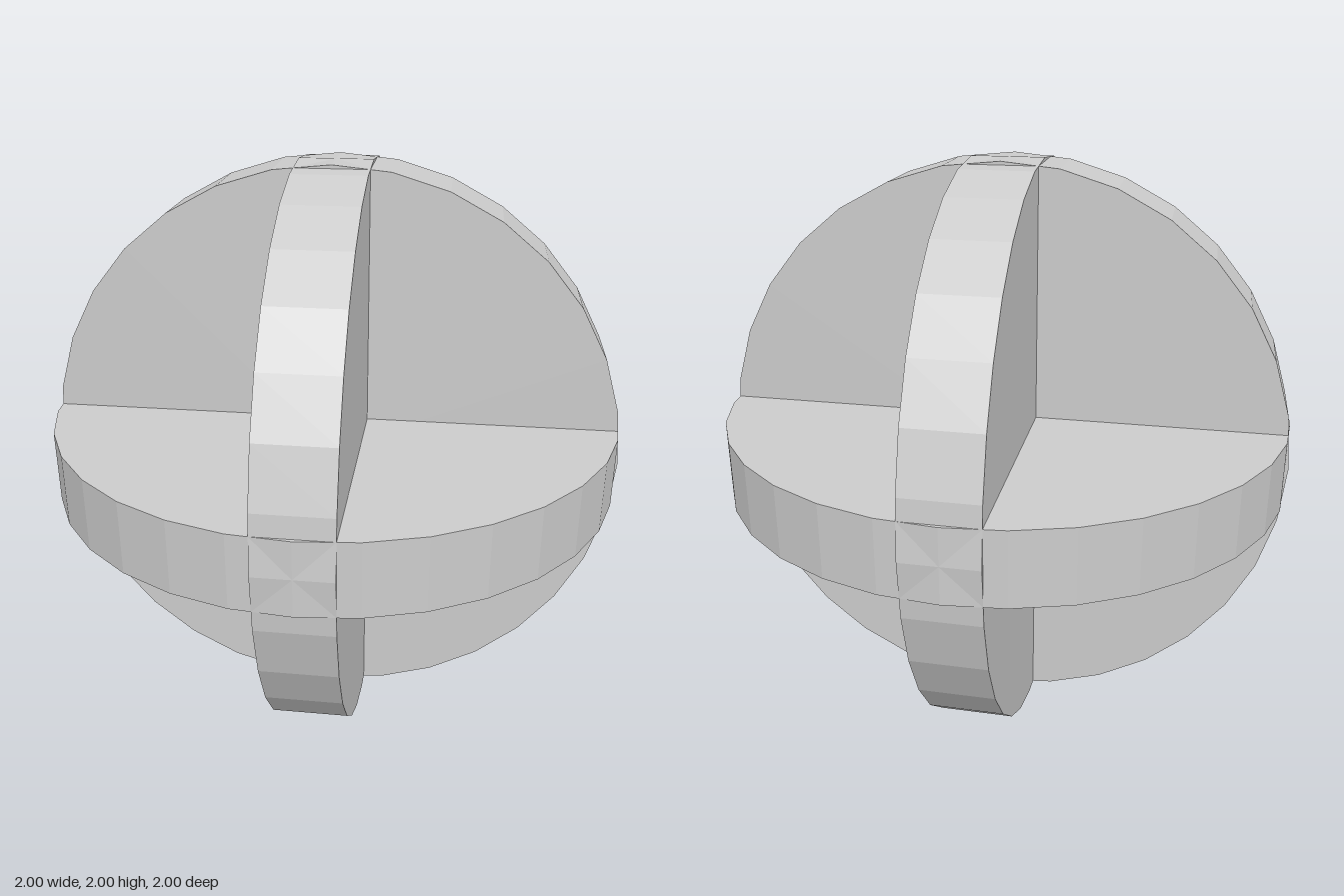
import * as THREE from 'three';

// Three identical thick discs crossing at right angles, one per axis
export function createModel() {
  const group = new THREE.Group();
  group.name = 'crossedDiscs';
  const material = new THREE.MeshStandardMaterial({ color: 0xcccccc, flatShading: true });
  const radius = 1, thickness = 0.25, sides = 32;
  const geometry = new THREE.CylinderGeometry(radius, radius, thickness, sides);

  const discs = [
    ['horizontalDisc', 0, 0],
    ['frontFacingDisc', Math.PI / 2, 0],
    ['sideFacingDisc', 0, Math.PI / 2],
  ];
  for (const [name, rx, rz] of discs) {
    const disc = new THREE.Mesh(geometry, material);
    disc.name = name;
    disc.rotation.set(rx, 0, rz);
    disc.position.y = radius;
    group.add(disc);
  }
  return group;
}
